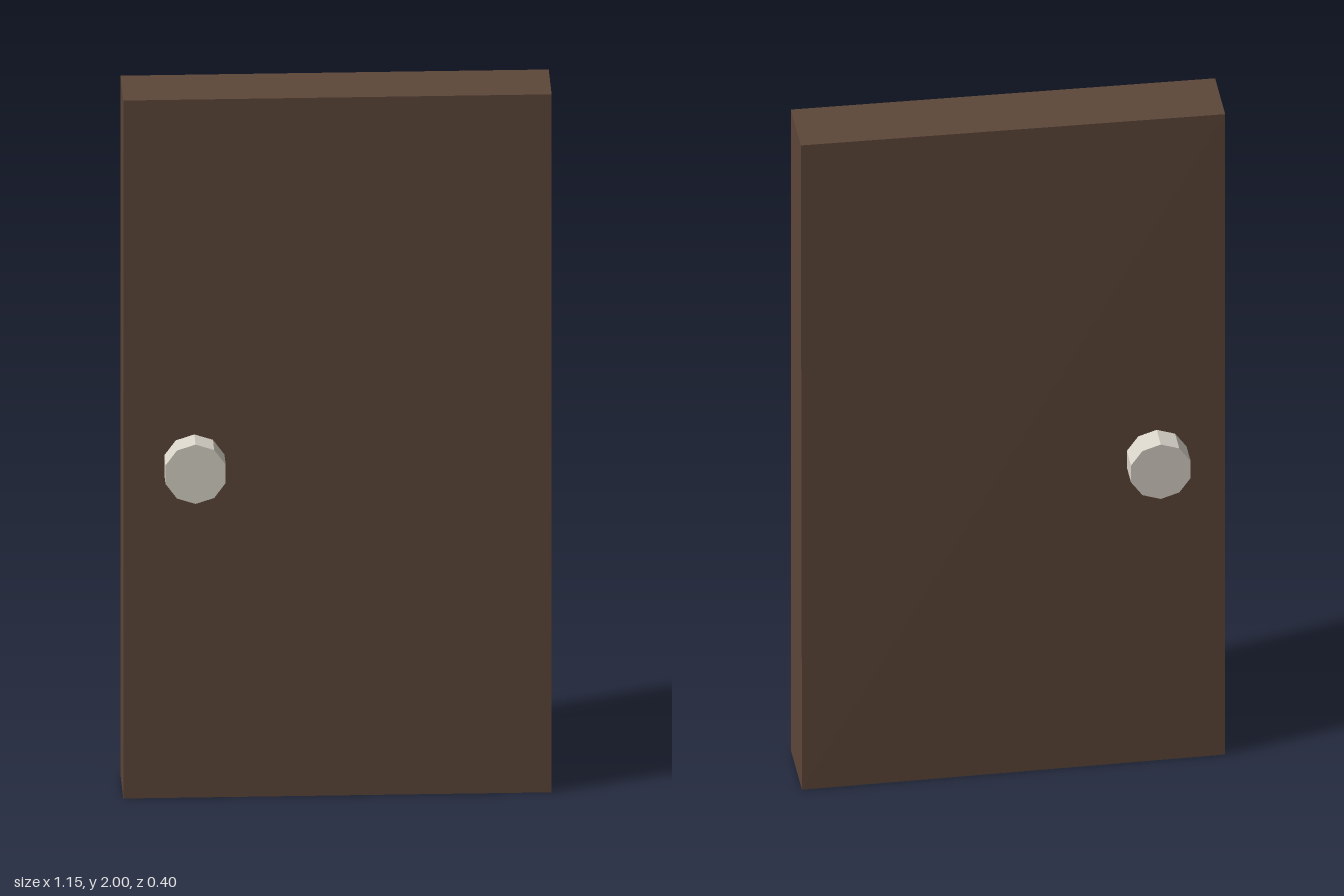
import * as THREE from 'three';

const WOOD = new THREE.MeshStandardMaterial({ color: 0x5d4639, flatShading: true });
const METAL = new THREE.MeshStandardMaterial({ color: 0xd9d4c9, flatShading: true });
const WIDTH = 1.15, HEIGHT = 2, FRONT = 0.1, BACK = -0.09;

// Plain slab whose back face is pulled out at the lower +x corner
function createPanel() {
  const geometry = new THREE.BoxGeometry(WIDTH, HEIGHT, FRONT - BACK);
  geometry.translate(0, HEIGHT / 2, (FRONT + BACK) / 2);
  const p = geometry.attributes.position;
  for (let i = 0; i < p.count; i++) {
    if (p.getX(i) > 0 && p.getY(i) < 0.01 && p.getZ(i) < 0) p.setZ(i, -0.111);
  }
  geometry.computeVertexNormals();
  const panel = new THREE.Mesh(geometry, WOOD);
  panel.name = 'doorPanel';
  return panel;
}

// Ten-sided cylinder lying along z, between two depths
function roundPart(name, radius, z0, z1) {
  const geometry = new THREE.CylinderGeometry(radius, radius, z1 - z0, 10);
  geometry.rotateX(Math.PI / 2);
  const mesh = new THREE.Mesh(geometry, METAL);
  mesh.position.z = (z0 + z1) / 2;
  mesh.name = name;
  return mesh;
}

// Stem and grip, pointing to +z
function createKnob(name) {
  const knob = new THREE.Group();
  knob.name = name;
  knob.add(roundPart('stem', 0.053, 0.06, 0.12), roundPart('grip', 0.085, 0.12, 0.198));
  knob.position.set(-0.385, 0.963, 0);
  return knob;
}

export function createModel() {
  const door = new THREE.Group();
  door.name = 'door';
  const backKnob = createKnob('backKnob');
  backKnob.rotation.y = Math.PI;
  door.add(createPanel(), createKnob('frontKnob'), backKnob);
  return door;
}
